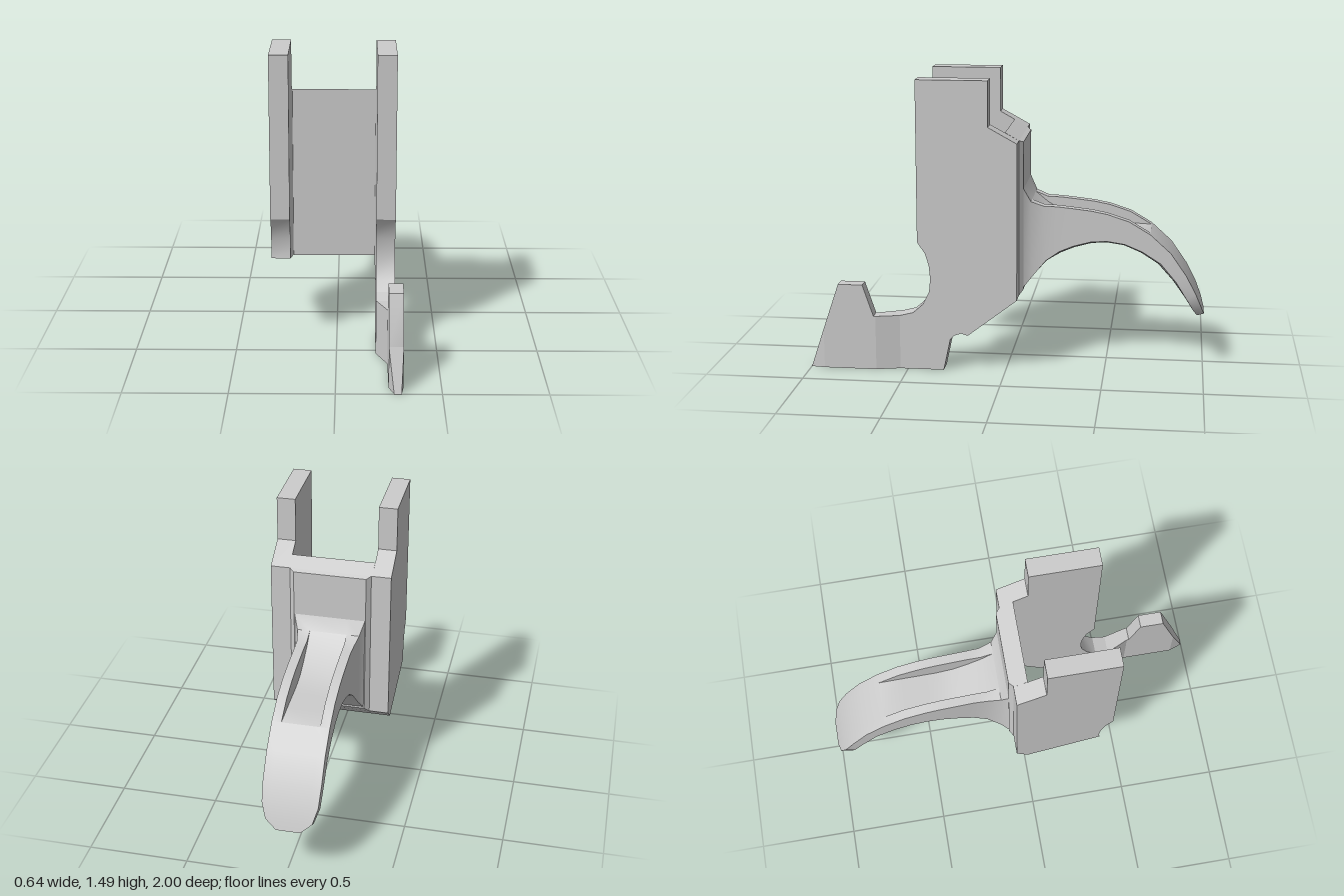
import * as THREE from 'three';
import { toCreasedNormals } from 'three/addons/utils/BufferGeometryUtils.js';

const material = new THREE.MeshStandardMaterial({ color: 0xcccccc });
const CX = -0.017; // middle of the bracket across x

// Extrudes a [z, y] outline across x; lo and hi are numbers or functions of z.
function prism(name, outline, lo, hi) {
  const shape = new THREE.Shape(outline.map(([z, y]) => new THREE.Vector2(-z, y)));
  const geo = new THREE.ExtrudeGeometry(shape, { depth: 1, bevelEnabled: false });
  geo.rotateY(Math.PI / 2);
  const at = (f, z) => (typeof f === 'function' ? f(z) : f);
  const p = geo.attributes.position;
  for (let i = 0; i < p.count; i++) {
    const z = p.getZ(i);
    p.setX(i, THREE.MathUtils.lerp(at(lo, z), at(hi, z), p.getX(i)));
  }
  const flat = geo.toNonIndexed ? (geo.index ? geo.toNonIndexed() : geo) : geo;
  const mesh = new THREE.Mesh(toCreasedNormals(flat, 0.4), material);
  mesh.name = name;
  return mesh;
}

// Piecewise linear function through [z, x] points
const ramp = (pts) => (z) => {
  if (z <= pts[0][0]) return pts[0][1];
  for (let i = 1; i < pts.length; i++) {
    const [z0, x0] = pts[i - 1], [z1, x1] = pts[i];
    if (z <= z1) return x0 + ((z - z0) / (z1 - z0)) * (x1 - x0);
  }
  return pts[pts.length - 1][1];
};

// Curved lever with a pocket in its upper side, lofted from cross-sections
function makeLever() {
  // top z, top y, bottom z, bottom y, half width, pocket depth ratio, underside bulge
  const stations = [
    [-0.06, 0.97, -0.05, 0.38, 0.205, 0, 0],
    [-0.08, 0.93, -0.075, 0.41, 0.182, 0, 0],
    [-0.115, 0.86, -0.12, 0.465, 0.16, 0, 0.01],
    [-0.18, 0.835, -0.19, 0.55, 0.146, 0.1, 0.02],
    [-0.25, 0.833, -0.26, 0.6, 0.143, 0.3, 0.03],
    [-0.33, 0.825, -0.33, 0.63, 0.143, 0.5, 0.03],
    [-0.42, 0.815, -0.42, 0.655, 0.143, 0.65, 0.03],
    [-0.5, 0.8, -0.5, 0.66, 0.143, 0.65, 0.03],
    [-0.61, 0.765, -0.59, 0.647, 0.143, 0.5, 0.03],
    [-0.72, 0.7, -0.68, 0.61, 0.143, 0, 0.03],
    [-0.825, 0.605, -0.775, 0.55, 0.143, 0, 0.03],
    [-0.905, 0.49, -0.855, 0.455, 0.143, 0, 0.025],
    [-0.955, 0.395, -0.91, 0.365, 0.138, 0, 0.015],
    [-0.985, 0.32, -0.945, 0.3, 0.115, 0, 0.01],
    [-1, 0.272, -0.965, 0.262, 0.06, 0, 0],
  ];
  const rings = stations.map(([tz, ty, bz, by, w, g, bulge]) => {
    const gw = Math.min(0.095, w * 0.7);
    const len = Math.hypot(bz - tz, by - ty);
    const point = (x, t) => new THREE.Vector3(CX + x, ty + (by - ty) * t, tz + (bz - tz) * t);
    const ring = [[-w, 0], [-gw, 0], [-gw, g], [gw, g], [gw, 0], [w, 0]].map(([x, t]) => point(x, t));
    for (let k = 0; k <= 8; k++) {
      const s = 1 - k / 4;
      ring.push(point(s * w, 1 + (bulge / len) * (1 - s * s)));
    }
    return ring;
  });
  const pos = [];
  const tri = (...v) => v.forEach((p) => pos.push(p.x, p.y, p.z));
  const n = rings[0].length;
  for (let i = 0; i < rings.length - 1; i++) {
    for (let j = 0; j < n; j++) {
      const k = (j + 1) % n;
      tri(rings[i][j], rings[i][k], rings[i + 1][j]);
      tri(rings[i][k], rings[i + 1][k], rings[i + 1][j]);
    }
  }
  const end = rings[rings.length - 1];
  for (let j = 1; j < n - 1; j++) tri(end[0], end[j], end[j + 1]);
  const geo = new THREE.BufferGeometry();
  geo.setAttribute('position', new THREE.Float32BufferAttribute(pos, 3));
  const mesh = new THREE.Mesh(toCreasedNormals(geo, 0.6), material);
  mesh.name = 'lever';
  return mesh;
}

export function createModel() {
  const group = new THREE.Group();
  group.name = 'latchBracket';

  // Upper outline shared by both side plates, from the back corner to the front notch
  const upper = [
    [-0.06, 0.38], [-0.06, 1.18], [0.085, 1.26], [0.085, 1.49], [0.445, 1.49], [0.445, 0.67],
    [0.405, 0.61], [0.387, 0.55], [0.38, 0.48],
  ];
  group.add(prism('rightPlate', [...upper, [0.385, 0.445], [0, 0.325]], -0.325, -0.23));
  group.add(prism('leftPlate', [
    ...upper, [0.387, 0.41], [0.42, 0.345], [0.47, 0.3], [0.54, 0.282],
    [0.54, 0], [0.315, 0], [0.28, 0.165], [0.26, 0.185], [0.225, 0.197], [0.19, 0.187],
  ], 0.195, 0.29));

  // Hook below the left plate: sideways step, upright tooth and tapered tip
  const inner = ramp([[0.54, 0.195], [0.66, 0.25], [0.93, 0.25], [1, 0.275]]);
  const outer = ramp([[0.54, 0.29], [0.66, 0.32], [0.93, 0.32], [1, 0.31]]);
  group.add(prism('hookStep', [[0.54, 0], [0.54, 0.282], [0.66, 0.282], [0.66, 0]], inner, outer));
  group.add(prism('hookTooth', [
    [0.66, 0], [0.66, 0.282], [0.67, 0.282], [0.725, 0.445], [0.85, 0.445], [0.93, 0.208], [0.93, 0],
  ], inner, outer));
  group.add(prism('hookTip', [[0.93, 0], [0.93, 0.208], [1, 0]], inner, outer));

  // Web joining the plates, with a bevelled pad behind it
  group.add(prism('backPanel', [[-0.06, 0.38], [-0.06, 1.18], [0.01, 1.22], [0.01, 0.325], [0, 0.325]], -0.23, 0.195));
  const padHalf = ramp([[-0.08, 0.185], [-0.06, 0.208]]);
  group.add(prism('backPad', [[-0.06, 0.38], [-0.08, 0.405], [-0.08, 1.17], [-0.06, 1.18]],
    (z) => CX - padHalf(z), (z) => CX + padHalf(z)));

  group.add(makeLever());
  return group;
}
